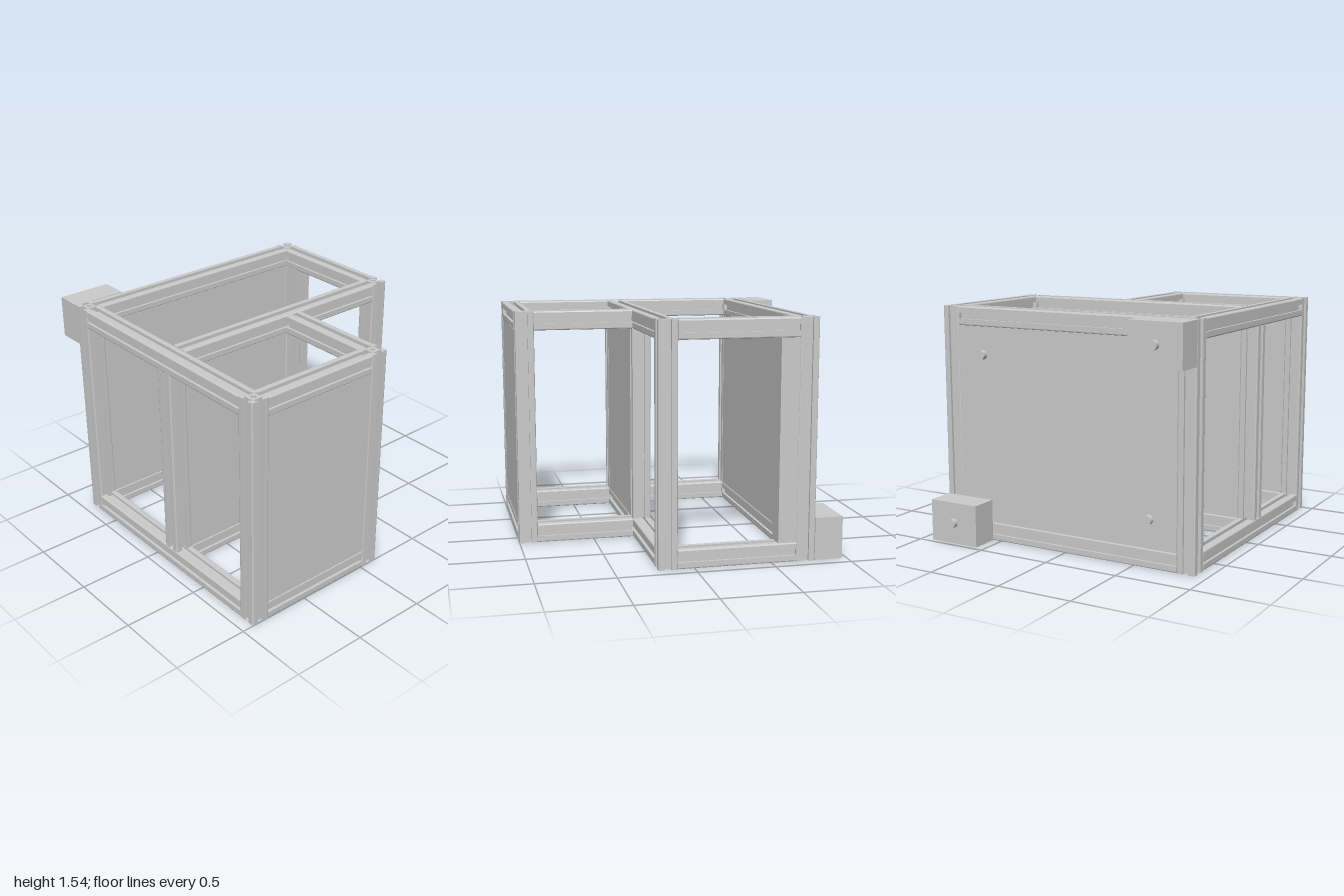
import * as THREE from 'three';

const H = 1.54;    // frame height
const W = 0.123;   // profile width
const R = W / 2;
const mat = new THREE.MeshStandardMaterial({ color: 0xcccccc });

// Post centre lines
const XL = -0.922 + R, XR = 0.922 - R, XM = 0.0735;
const ZB = -0.784 + R, ZM = 0.168, ZF = 1 - R;

// Slotted square profile: one side's outline turned four times, with a centre bore
function slotProfile() {
  const c = 0.008, lip = R - 0.016, floor = 0.034;
  const side = [
    [R - c, -R], [R - c * 0.3, -R + c * 0.3], [R, -R + c], [R, -0.02], [lip, -0.02], [lip, -0.029], [floor, -0.029],
    [floor, 0.029], [lip, 0.029], [lip, 0.02], [R, 0.02],
  ];
  const pts = [];
  for (let k = 0; k < 4; k++) {
    const cos = [1, 0, -1, 0][k], sin = [0, 1, 0, -1][k];
    for (const [x, y] of side) pts.push(new THREE.Vector2(cos * x - sin * y, sin * x + cos * y));
  }
  const shape = new THREE.Shape(pts);
  const bore = new THREE.Path();
  bore.absarc(0, 0, 0.016, 0, Math.PI * 2, true);
  shape.holes.push(bore);
  return shape;
}

export function createModel() {
  const model = new THREE.Group();
  const profile = slotProfile();

  function add(name, geometry, x, y, z) {
    const mesh = new THREE.Mesh(geometry, mat);
    mesh.name = name;
    mesh.position.set(x, y, z);
    model.add(mesh);
  }

  // Length of slotted profile running from a to b along one axis
  function rail(name, axis, a, b, x, y, z) {
    const g = new THREE.ExtrudeGeometry(profile, { depth: b - a, bevelEnabled: false, curveSegments: 8 });
    g.translate(0, 0, a);
    if (axis === 'x') g.rotateY(Math.PI / 2);
    if (axis === 'y') g.rotateX(-Math.PI / 2);
    add(name, g, x, y, z);
  }

  function box(name, x0, x1, y0, y1, z0, z1) {
    add(name, new THREE.BoxGeometry(x1 - x0, y1 - y0, z1 - z0), (x0 + x1) / 2, (y0 + y1) / 2, (z0 + z1) / 2);
  }

  // Round peg pointing backwards
  function peg(name, x, y, z0, z1) {
    const g = new THREE.CylinderGeometry(0.03, 0.03, z1 - z0, 24).rotateX(Math.PI / 2);
    add(name, g, x, y, (z0 + z1) / 2);
  }

  // Full-height corner posts
  for (const [x, z] of [[XL, ZB], [XR, ZB], [XR, ZM], [XM, ZF], [XL, ZF]]) {
    rail('cornerPost', 'y', 0, H, x, 0, z);
  }
  // Shorter posts held between the rails
  for (const x of [XL, XM]) rail('innerPost', 'y', W, H - W, x, 0, ZM);

  // Matching bottom and top rails
  for (const y of [R, H - R]) {
    rail('backRail', 'x', XL + R, XR - R, 0, y, ZB);
    rail('middleRail', 'x', XL + R, XR - R, 0, y, ZM);
    rail('frontRail', 'x', XL + R, XM - R, 0, y, ZF);
    rail('longSideRail', 'z', ZB + R, ZF - R, XL, y, 0);
    rail('shortSideRail', 'z', ZB + R, ZM - R, XR, y, 0);
    rail('innerSideRail', 'z', ZM + R, ZF - R, XM, y, 0);
  }

  // Thick infill panels, almost flush with the frame
  const t = R - 0.003;
  for (const [name, x1, z] of [['backPanel', XR - R, ZB], ['middlePanel', XM - R, ZM], ['frontPanel', XM - R, ZF]]) {
    box(name, XL + R, x1, W, H - W, z - t, z + t);
  }

  // Plain filler bar beside the back post
  box('fillerBar', XR - t, XR + t, W + 0.002, H - W - 0.002, ZB + R, -0.54);

  // Rear blocks on opposite corners, each with a peg
  box('upperBlock', -0.922, -0.565, 1.265, H, -0.967, -0.784);
  box('lowerBlock', 0.563, 0.92, 0, 0.275, -0.967, -0.784);
  peg('upperBlockPeg', -0.742, 1.405, -1, -0.96);
  peg('lowerBlockPeg', 0.74, 0.14, -1, -0.96);

  // Pegs on the back panel at the other two corners
  peg('upperPanelPeg', 0.61, 1.235, -0.815, -0.76);
  peg('lowerPanelPeg', -0.61, 0.31, -0.815, -0.76);

  return model;
}
